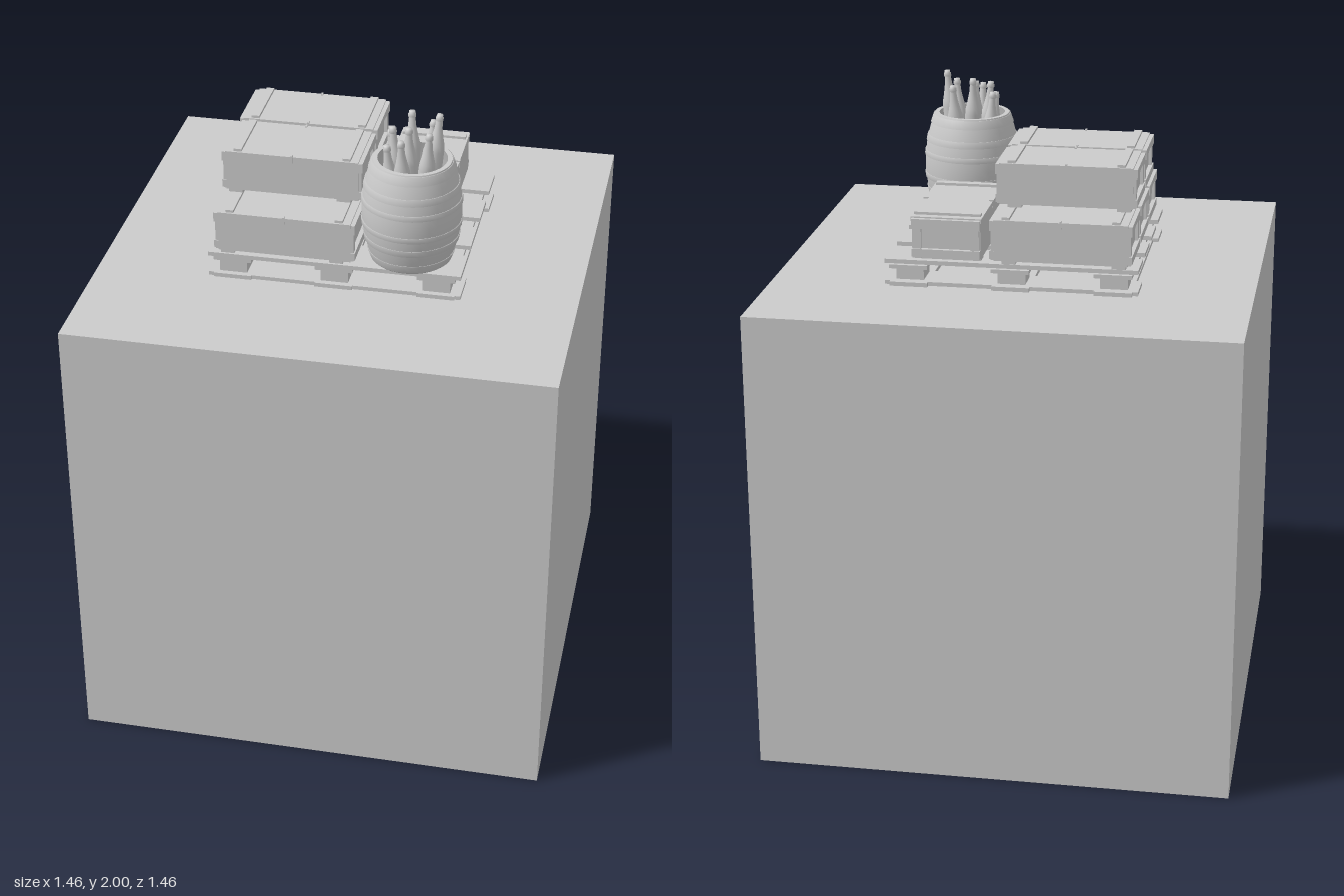
import * as THREE from 'three';

const mat = new THREE.MeshStandardMaterial({ color: 0xcccccc });
const thinMat = new THREE.MeshStandardMaterial({ color: 0xcccccc, side: THREE.DoubleSide });

// Box given by its min and max on each axis
function box(parent, name, x0, x1, y0, y1, z0, z1) {
  const mesh = new THREE.Mesh(new THREE.BoxGeometry(x1 - x0, y1 - y0, z1 - z0), mat);
  mesh.position.set((x0 + x1) / 2, (y0 + y1) / 2, (z0 + z1) / 2);
  mesh.name = name;
  parent.add(mesh);
  return mesh;
}

function lathe(parent, name, points, segments) {
  const profile = points.map(([r, y]) => new THREE.Vector2(r, y));
  const mesh = new THREE.Mesh(new THREE.LatheGeometry(profile, segments), thinMat);
  mesh.name = name;
  parent.add(mesh);
  return mesh;
}

function createPallet() {
  const pallet = new THREE.Group();
  pallet.name = 'pallet';
  const rows = [[-0.36, -0.24], [-0.18, -0.06], [0, 0.12], [0.18, 0.31]];
  for (const [z0, z1] of rows) box(pallet, 'deckPlank', -0.387, 0.383, 1.527, 1.54, z0, z1);
  for (const [x0, x1] of [[-0.37, -0.255], [-0.06, 0.055], [0.25, 0.366]]) {
    box(pallet, 'stringer', x0, x1, 1.515, 1.527, -0.373, 0.31);
    box(pallet, 'bottomRunner', x0, x1, 1.46, 1.473, -0.373, 0.315);
    const cx = (x0 + x1) / 2;
    for (const z of [-0.3, -0.01, 0.255])
      box(pallet, 'spacerBlock', cx - 0.042, cx + 0.042, 1.473, 1.515, z - 0.042, z + 0.042);
  }
  // Outer cross boards on the underside
  for (const [z0, z1] of [[-0.36, -0.25], [0.2, 0.31]])
    box(pallet, 'bottomPlank', -0.387, 0.383, 1.461, 1.473, z0, z1);
  return pallet;
}

// End panel cleat with a shallow scooped lower edge for gripping
function gripCleat(width) {
  const h = width / 2;
  const s = new THREE.Shape();
  s.moveTo(-h, 0.03);
  s.lineTo(-h, 0);
  s.lineTo(-h * 0.65, 0);
  s.quadraticCurveTo(0, 0.022, h * 0.65, 0);
  s.lineTo(h, 0);
  s.lineTo(h, 0.03);
  s.closePath();
  return new THREE.ExtrudeGeometry(s, { depth: 0.013, bevelEnabled: false, curveSegments: 8 });
}

// Crate lying along x, standing on y = 0, centred on x and z
function createCrate() {
  const crate = new THREE.Group();
  crate.name = 'crate';
  const L = 0.202, W = 0.107;
  box(crate, 'body', -L, L, 0.01, 0.123, -W + 0.003, W - 0.003);
  box(crate, 'lid', -L, L, 0.123, 0.137, -W, W);
  for (const s of [-1, 1]) {
    const x = s * 0.166;
    box(crate, 'lidBatten', x - 0.012, x + 0.012, 0.137, 0.145, -W + 0.006, W - 0.006);
    box(crate, 'footBatten', x - 0.03, x + 0.012, 0, 0.01, -W + 0.006, W - 0.006);
    box(crate, 'latch', -0.003, 0.003, 0.118, 0.141, s > 0 ? W - 0.012 : -W, s > 0 ? W + 0.002 : -W + 0.012);
    const end = new THREE.Group();
    end.name = 'endFrame';
    end.position.x = s * L;
    end.rotation.y = s * Math.PI / 2;
    for (const t of [-1, 1])
      box(end, 'uprightCleat', t * 0.088 - 0.013, t * 0.088 + 0.013, 0.012, 0.13, 0, 0.009);
    const grip = new THREE.Mesh(gripCleat(2 * W - 0.006), mat);
    grip.name = 'gripCleat';
    grip.position.y = 0.103;
    end.add(grip);
    box(end, 'lowerCleat', -W + 0.003, W - 0.003, 0.016, 0.04, 0, 0.013);
    crate.add(end);
  }
  return crate;
}

function createBarrel() {
  const barrel = new THREE.Group();
  barrel.name = 'barrel';
  barrel.position.set(0.215, 1.54, 0.205);
  const H = 0.325;
  const radius = y => 0.15 - 0.032 * Math.pow(Math.abs(2 * y / H - 1), 2);
  const staves = [[0, 0]];
  for (let i = 0; i <= 14; i++) staves.push([radius(H * i / 14), H * i / 14]);
  lathe(barrel, 'staves', staves, 36);
  // Flat rim and the hollow inside
  lathe(barrel, 'rim', [[0.118, H], [0.104, H]], 36);
  const inner = [];
  for (let i = 0; i <= 8; i++) {
    const y = H - 0.225 * i / 8;
    inner.push([radius(y) - 0.014, y]);
  }
  inner.push([0, 0.1]);
  lathe(barrel, 'hollow', inner, 36);
  for (const [y0, y1] of [[0.004, 0.03], [0.068, 0.088], [0.118, 0.134], [0.191, 0.207], [0.237, 0.257], [0.295, 0.321]]) {
    const a = radius(y0), b = radius(y1);
    lathe(barrel, 'hoop', [[a, y0], [a + 0.003, y0], [b + 0.003, y1], [b, y1]], 36);
  }
  return barrel;
}

// Bottle with its tip at the local origin, so it hangs down into the barrel
function createBottle(x, y, z) {
  const bottle = new THREE.Group();
  bottle.name = 'bottle';
  lathe(bottle, 'glass', [[0, -0.25], [0.022, -0.25], [0.025, -0.24], [0.025, -0.115], [0.023, -0.095],
    [0.017, -0.07], [0.012, -0.045], [0.0095, -0.018]], 14);
  lathe(bottle, 'neckAndCork', [[0.0095, -0.018], [0.0115, -0.018], [0.0115, -0.008], [0.009, -0.008],
    [0.009, 0], [0, 0]], 14);
  bottle.position.set(x, y, z);
  // Lean gently outwards from the barrel axis
  bottle.rotation.set((z - 0.205) * 1.2, 0, -(x - 0.215) * 1.2);
  return bottle;
}

export function createModel() {
  const model = new THREE.Group();
  model.name = 'cargoOnBlock';

  box(model, 'baseBlock', -0.73, 0.73, 0, 1.46, -0.73, 0.73);
  model.add(createPallet());

  // Three crates below, two above, one turned sideways at the back
  const place = (x, y, z, turn = 0) => {
    const crate = createCrate();
    crate.position.set(x, y, z);
    crate.rotation.y = turn;
    model.add(crate);
  };
  for (const z of [-0.257, -0.028, 0.202]) place(-0.153, 1.54, z);
  for (const z of [-0.145, 0.085]) place(-0.153, 1.685, z);
  place(0.192, 1.54, -0.16, Math.PI / 2);

  model.add(createBarrel());
  const bottles = [
    [0.29, 2.0, 0.18], [0.2, 1.985, 0.14], [0.265, 1.96, 0.14], [0.143, 1.935, 0.177], [0.155, 1.962, 0.21],
    [0.203, 1.962, 0.21], [0.27, 1.962, 0.238], [0.19, 1.945, 0.268], [0.145, 1.92, 0.25],
  ];
  for (const [x, y, z] of bottles) model.add(createBottle(x, y, z));
  return model;
}
